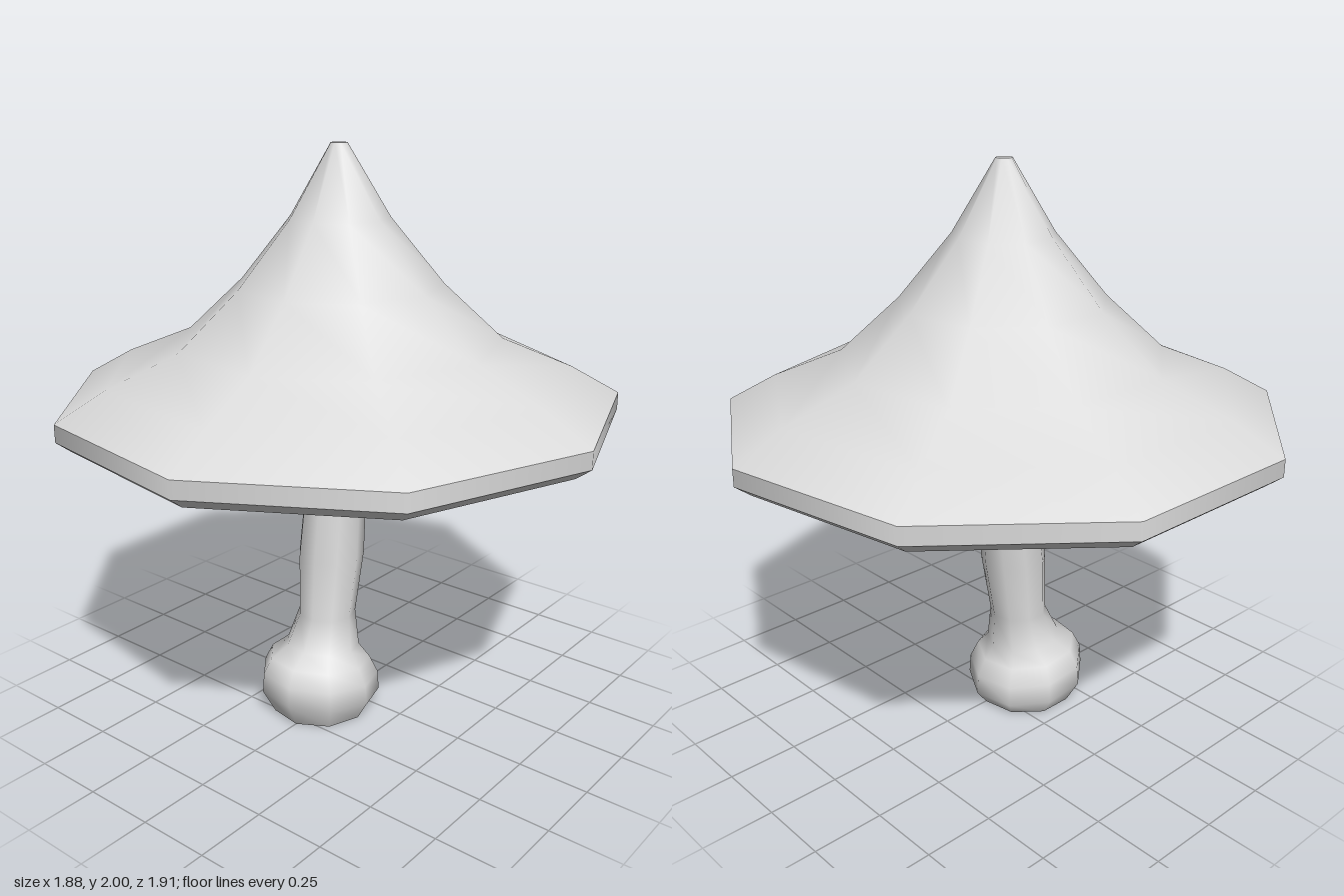
import * as THREE from 'three';
import { mergeVertices } from 'three/addons/utils/BufferGeometryUtils.js';

const SIDES = 9;

// Nine-sided lathe with one corner on +x; profile is a list of [radius, y]
function lathe(profile) {
  const points = profile.map(([r, y]) => new THREE.Vector2(r, y));
  return new THREE.LatheGeometry(points, SIDES, Math.PI / 2);
}

export function createModel() {
  // Cap and stem are open shells, so both sides must show
  const grey = new THREE.MeshStandardMaterial({ color: 0xdcdcdc, side: THREE.DoubleSide });
  grey.name = 'light grey';

  const model = new THREE.Group();
  model.name = 'mushroom';
  const add = (parent, name, geometry) => {
    const mesh = new THREE.Mesh(geometry, grey);
    mesh.name = name;
    parent.add(mesh);
  };

  // Hollow cap: one smooth lathe per band, so the rim edges stay sharp
  const cap = new THREE.Group();
  cap.name = 'cap';
  const bands = {
    rimLip: [[0.82, 1.068], [0.915, 1.055]],
    rimBevel: [[0.915, 1.055], [0.968, 1.095]],
    rimWall: [[0.968, 1.095], [0.968, 1.155]],
    capTop: [[0.968, 1.155], [0.8, 1.25], [0.558, 1.35], [0.353, 1.54], [0.172, 1.76], [0.028, 2]],
    capTip: [[0.028, 2], [0, 2]],
  };
  for (const [name, profile] of Object.entries(bands)) add(cap, name, lathe(profile));

  // Stem rings, open at both ends: radius, height, forward offset, forward tilt
  const rings = [
    [0.175, 0, 0.113, 0],
    [0.217, 0.07, 0.118, 0.1],
    [0.212, 0.14, 0.118, 0.1],
    [0.182, 0.2, 0.118, 0.1],
    [0.132, 0.242, 0.1, 0.1],
    [0.103, 0.36, 0.075, 0],
    [0.118, 0.58, 0.05, 0],
    [0.105, 0.98, 0.007, 0],
    [0.119, 1.055, 0, 0],
    [0.168, 1.28, -0.01, 0],
  ];
  const stem = lathe(rings);
  const pos = stem.attributes.position;
  for (let i = 0; i < pos.count; i++) {
    const [, y, offset, tilt] = rings[i % rings.length];
    const z = pos.getZ(i);
    pos.setY(i, y + z * tilt);
    pos.setZ(i, z + offset);
  }
  stem.deleteAttribute('uv');
  stem.deleteAttribute('normal');
  const smoothStem = mergeVertices(stem, 1e-4);
  smoothStem.computeVertexNormals();
  const stemGroup = new THREE.Group();
  stemGroup.name = 'stem';
  add(stemGroup, 'stalk', smoothStem);

  // The axis sits slightly off centre because the outline has an odd number of sides
  for (const part of [cap, stemGroup]) {
    part.position.x = -0.03;
    model.add(part);
  }
  return model;
}
